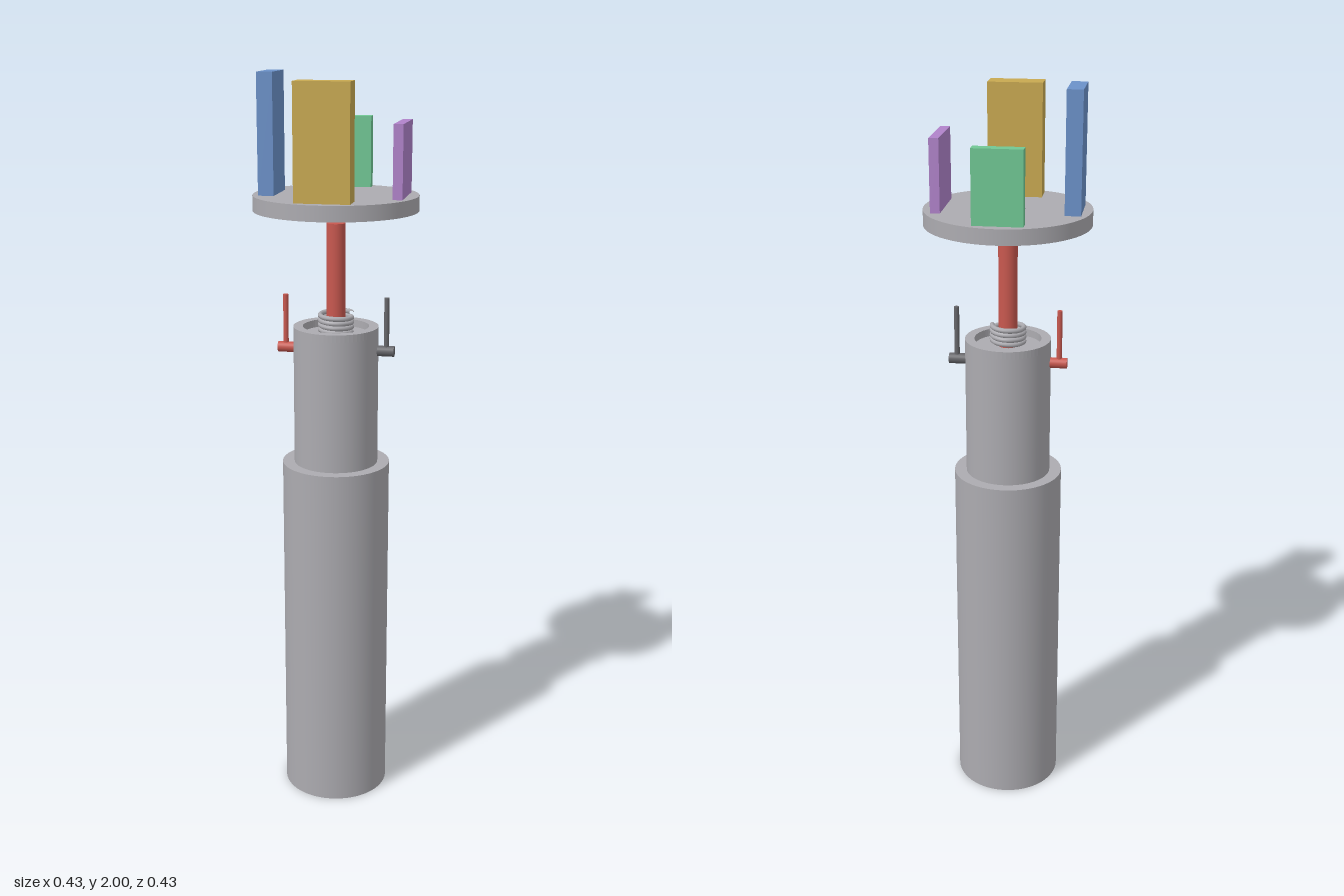
import * as THREE from 'three';

const paint = (name, color) => {
  const m = new THREE.MeshStandardMaterial({ color });
  m.name = name;
  return m;
};

export function createModel() {
  const model = new THREE.Group();
  const grey = paint('light grey', 0xacabb0);
  const dark = paint('dark grey', 0x66666a);
  const red = paint('red', 0xc8584f);
  const blue = paint('blue', 0x6b91c9);
  const gold = paint('gold', 0xc8a951);
  const green = paint('green', 0x70c794);
  const purple = paint('purple', 0xb083ca);

  const add = (name, geometry, material, x = 0, y = 0, z = 0) => {
    const mesh = new THREE.Mesh(geometry, material);
    mesh.name = name;
    mesh.position.set(x, y, z);
    model.add(mesh);
    return mesh;
  };
  // upright cylinder between two heights
  const post = (name, r, y0, y1, material, x = 0, z = 0, sides = 64) =>
    add(name, new THREE.CylinderGeometry(r, r, y1 - y0, sides), material, x, (y0 + y1) / 2, z);

  // two-step body, the upper sleeve open at the top
  post('lowerBody', 0.145, 0, 0.975, grey);
  post('upperBody', 0.113, 0.975, 1.33, grey);
  const rim = new THREE.Shape().absarc(0, 0, 0.113, 0, Math.PI * 2);
  rim.holes.push(new THREE.Path().absarc(0, 0, 0.088, 0, Math.PI * 2, true));
  const rimGeometry = new THREE.ExtrudeGeometry(rim, { depth: 0.02, bevelEnabled: false, curveSegments: 32 });
  rimGeometry.rotateX(-Math.PI / 2);
  add('upperRim', rimGeometry, grey, 0, 1.33, 0);

  // plunger and the spring around it
  post('plunger', 0.025, 1.33, 1.622, red, 0, 0, 32);
  const turns = 4;
  const coil = [];
  for (let i = 0; i <= turns * 16; i++) {
    const a = (i / 16) * Math.PI * 2;
    coil.push(new THREE.Vector3(Math.cos(a) * 0.042, 1.336 + (0.05 * i) / (turns * 16), Math.sin(a) * 0.042));
  }
  add('spring', new THREE.TubeGeometry(new THREE.CatmullRomCurve3(coil), 160, 0.0065, 8), grey);

  // side terminals: a short stub with an upright pin
  for (const [side, name, material] of [[-1, 'right', red], [1, 'left', dark]]) {
    const stub = new THREE.CylinderGeometry(0.014, 0.014, 0.05, 24).rotateZ(Math.PI / 2);
    add(name + 'TerminalStub', stub, material, side * 0.132, 1.287, 0);
    post(name + 'TerminalPin', 0.007, 1.287, 1.43, material, side * 0.136, 0, 16);
  }

  // round platform with four tiny pins through it
  post('platform', 0.215, 1.655, 1.695, grey, 0, 0, 96);
  for (let i = 0; i < 4; i++) {
    const a = (i * Math.PI) / 2;
    post('platformPin', 0.004, 1.651, 1.696, dark, Math.cos(a) * 0.04, Math.sin(a) * 0.04, 12);
  }

  // upright sample plates: x, z, width, depth, top
  const plates = [
    ['rightPlate', blue, -0.17, 0, 0.041, 0.127, 2.0],
    ['frontPlate', gold, 0, 0.157, 0.142, 0.061, 1.985],
    ['leftPlate', purple, 0.172, 0, 0.025, 0.163, 1.88],
    ['backPlate', green, 0, -0.175, 0.127, 0.031, 1.88],
  ];
  for (const [name, material, x, z, w, d, top] of plates) {
    add(name, new THREE.BoxGeometry(w, top - 1.695, d), material, x, (top + 1.695) / 2, z);
  }
  return model;
}
